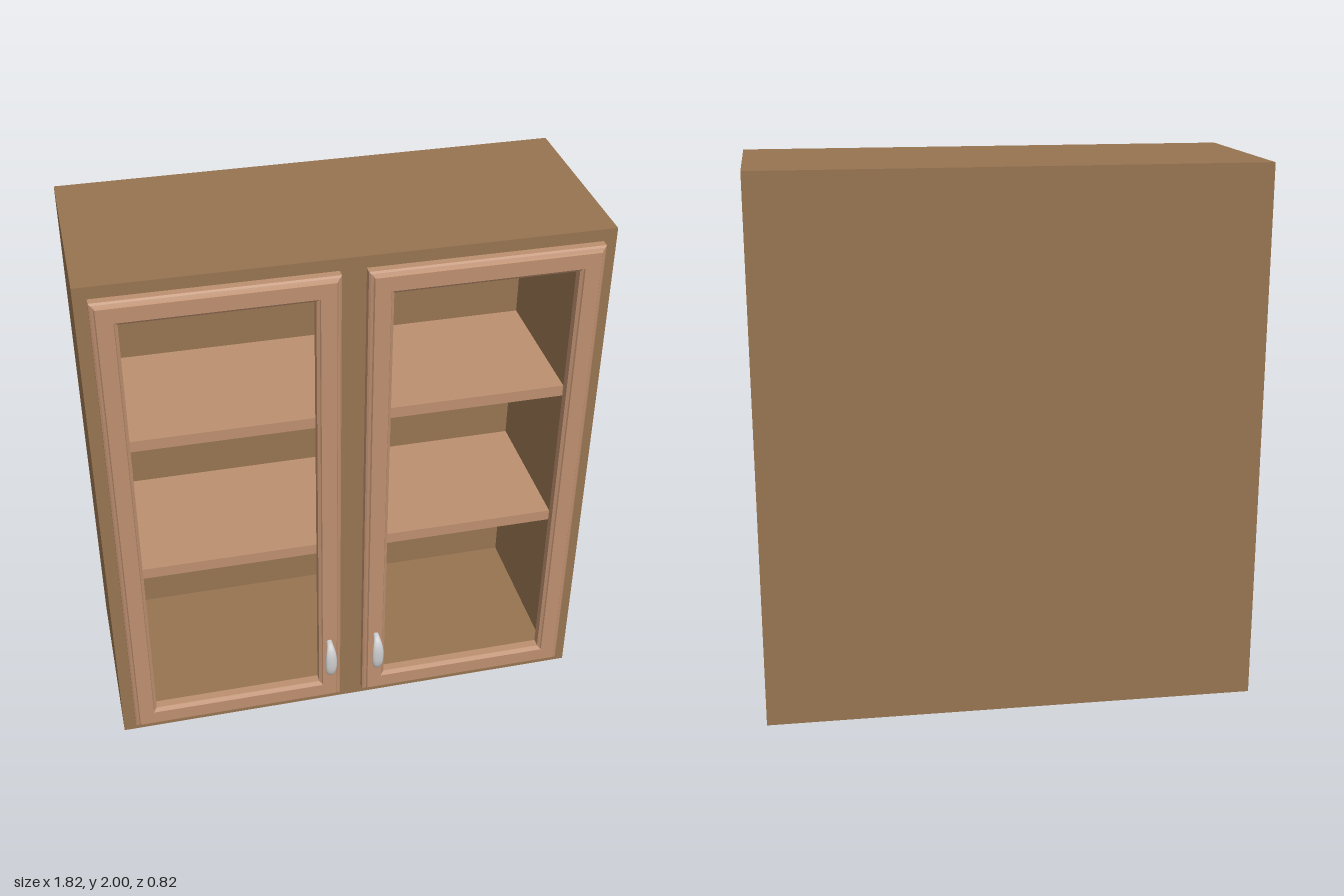
import * as THREE from 'three';
import { mergeVertices } from 'three/addons/utils/BufferGeometryUtils.js';

const carcassWood = new THREE.MeshStandardMaterial({ color: 0x977450 });
const doorWood = new THREE.MeshStandardMaterial({ color: 0xbd8f6f });
const metal = new THREE.MeshStandardMaterial({ color: 0xcccccc });

// Outer size of the carcass and the thickness of its walls
const W = 0.908, H = 2, BACK = -0.41, FRONT = 0.315, T = 0.092;

function add(parent, name, geometry, material) {
  const mesh = new THREE.Mesh(geometry, material);
  mesh.name = name;
  parent.add(mesh);
  return mesh;
}

// Box given by its limits on each axis
function box(parent, name, [x0, x1], [y0, y1], [z0, z1], material) {
  const g = new THREE.BoxGeometry(x1 - x0, y1 - y0, z1 - z0);
  g.translate((x0 + x1) / 2, (y0 + y1) / 2, (z0 + z1) / 2);
  return add(parent, name, g, material);
}

function rectPath(path, x0, x1, y0, y1) {
  path.moveTo(x0, y0);
  path.lineTo(x1, y0);
  path.lineTo(x1, y1);
  path.lineTo(x0, y1);
  path.closePath();
  return path;
}

// Skin a list of equal-length point rings with quads
function skin(rings) {
  const n = rings[0].length, pos = [];
  for (let i = 0; i + 1 < rings.length; i++) {
    for (let j = 0; j < n; j++) {
      const k = (j + 1) % n;
      const a = rings[i][j], b = rings[i][k], c = rings[i + 1][k], d = rings[i + 1][j];
      pos.push(...a, ...b, ...c, ...a, ...c, ...d);
    }
  }
  const g = new THREE.BufferGeometry();
  g.setAttribute('position', new THREE.Float32BufferAttribute(pos, 3));
  return g;
}

// Mitred door frame: a moulding profile of [inset, height] run round a rectangle
function doorFrame(x0, x1, y0, y1) {
  const profile = [
    [0, 0], [0, 0.028], [0.006, 0.034], [0.014, 0.038], [0.018, 0.045], [0.073, 0.045],
    [0.076, 0.039], [0.083, 0.034], [0.086, 0.032], [0.086, 0], [0, 0],
  ];
  const g = skin(profile.map(([d, h]) => [
    [x0 + d, y0 + d, FRONT + h], [x1 - d, y0 + d, FRONT + h],
    [x1 - d, y1 - d, FRONT + h], [x0 + d, y1 - d, FRONT + h],
  ]));
  g.computeVertexNormals();
  return g;
}

// Bow handle: an elliptical section, widest in the middle, along a rounded arch
function handleGeometry(cx, cy) {
  const steps = 32, sides = 16, rings = [];
  const arch = (t) => {
    const c = Math.cos(t), s = Math.sin(t);
    return [Math.sign(c) * Math.abs(c) ** 0.8 * 0.077, Math.abs(s) ** 0.8 * 0.043];
  };
  for (let i = 0; i <= steps; i++) {
    const t = Math.PI * i / steps;
    const [y, z] = arch(t);
    const a = arch(Math.max(0, t - 0.03)), b = arch(Math.min(Math.PI, t + 0.03));
    const len = Math.hypot(b[0] - a[0], b[1] - a[1]);
    const ny = (b[1] - a[1]) / len, nz = -(b[0] - a[0]) / len;
    const half = 0.011 + 0.011 * Math.sin(t) ** 2;
    rings.push(Array.from({ length: sides }, (_, j) => {
      const q = 2 * Math.PI * j / sides;
      const o = 0.0095 * Math.sin(q);
      return [cx + half * Math.cos(q), cy + y + ny * o, FRONT + 0.043 + z + nz * o];
    }));
  }
  const g = mergeVertices(skin(rings), 1e-5);
  g.computeVertexNormals();
  return g;
}

export function createModel() {
  const root = new THREE.Group();
  root.name = 'wallCabinet';

  // Carcass: a thick back, and a hollow shell extruded from back to front
  const carcass = new THREE.Group();
  carcass.name = 'carcass';
  root.add(carcass);
  const inner = W - T, backInner = BACK + T, stileBack = FRONT - T;
  box(carcass, 'backPanel', [-W, W], [0, H], [BACK, backInner], carcassWood);
  const shell = rectPath(new THREE.Shape(), -W, W, 0, H);
  shell.holes.push(rectPath(new THREE.Path(), -inner, inner, T, H - T));
  const shellGeo = new THREE.ExtrudeGeometry(shell, { depth: FRONT - backInner, bevelEnabled: false });
  shellGeo.translate(0, 0, backInner);
  add(carcass, 'shell', shellGeo, carcassWood);

  // Upright between the two doors
  box(carcass, 'centreStile', [-T, T], [T, H - T], [stileBack, FRONT], carcassWood);

  // Shelves across the full width
  for (const [name, y] of [['lowerShelf', 0.687], ['upperShelf', 1.274]]) {
    box(root, name, [-inner, inner], [y, y + 0.044], [backInner, stileBack], doorWood);
  }

  // Doors and handles
  for (const s of [1, -1]) {
    const door = new THREE.Group();
    door.name = s > 0 ? 'leftDoor' : 'rightDoor';
    const [x0, x1] = s > 0 ? [0.045, 0.862] : [-0.862, -0.045];
    add(door, 'doorFrame', doorFrame(x0, x1, 0.045, 1.956), doorWood);
    add(door, 'handle', handleGeometry(s * 0.093, 0.273), metal);
    root.add(door);
  }
  return root;
}
